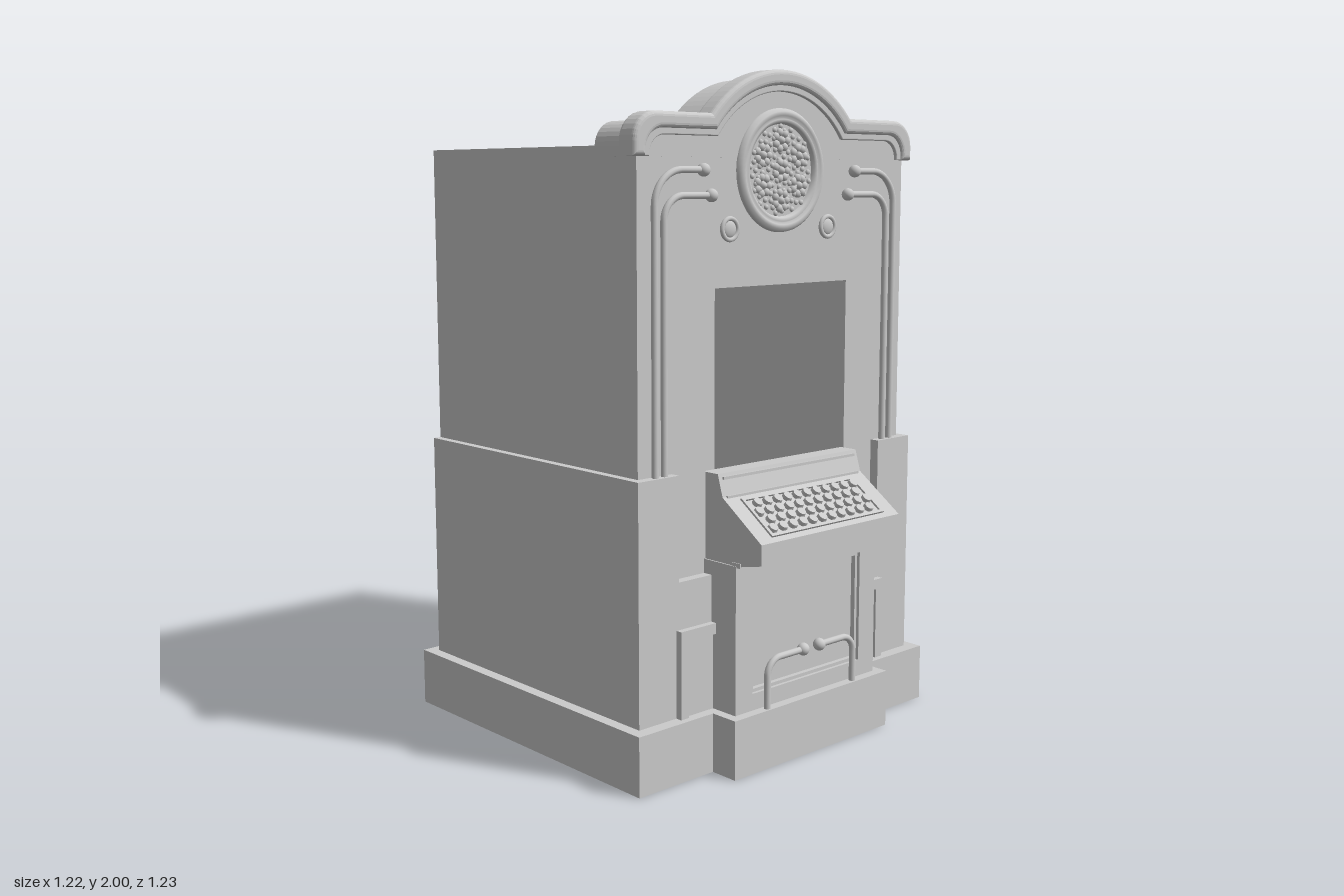
import * as THREE from 'three';

const material = new THREE.MeshStandardMaterial({ color: 0xcccccc });

export function createModel() {
  const model = new THREE.Group();

  const add = (name, geometry, x = 0, y = 0, z = 0, parent = model) => {
    const mesh = new THREE.Mesh(geometry, material);
    mesh.name = name;
    mesh.position.set(x, y, z);
    parent.add(mesh);
    return mesh;
  };
  // Box given by its limits
  const box = (name, x0, x1, y0, y1, z0, z1, parent) =>
    add(name, new THREE.BoxGeometry(x1 - x0, y1 - y0, z1 - z0),
      (x0 + x1) / 2, (y0 + y1) / 2, (z0 + z1) / 2, parent);
  const toShape = (pts) => new THREE.Shape(pts.map(([x, y]) => new THREE.Vector2(x, y)));
  const rect = (x0, x1, y0, y1) => [[x0, y0], [x1, y0], [x1, y1], [x0, y1]];
  // Outline pushed from z0 to z1, with optional hole and rounded edges
  const slab = (name, pts, z0, z1, { hole, bevel = 0 } = {}) => {
    const shape = toShape(pts);
    if (hole) shape.holes.push(toShape(hole));
    return add(name, new THREE.ExtrudeGeometry(shape, {
      depth: z1 - z0 - 2 * bevel, bevelEnabled: bevel > 0,
      bevelSize: bevel, bevelOffset: -bevel, bevelThickness: bevel, bevelSegments: 4,
    }), 0, 0, z0 + bevel);
  };

  // Plinth with its projecting step
  box('plinth', -0.61, 0.61, 0, 0.175, -0.61, 0.46);
  box('plinthStep', -0.33, 0.33, 0, 0.175, 0.4, 0.55);

  // Wide lower cabinet, cut away in the middle of its front
  slab('lowerCabinet', [[-0.575, 0.17], [0.575, 0.17], [0.575, 0.875], [0.425, 0.875],
    [0.425, 0.57], [-0.425, 0.57], [-0.425, 0.875], [-0.575, 0.875]], -0.574, 0.42);

  // Upper cabinet: solid rear, front with deep window recess
  box('upperCabinetRear', -0.55, 0.55, 0.5, 1.78, -0.575, -0.19);
  slab('upperCabinetFront', rect(-0.55, 0.55, 0.5, 1.78), -0.19, 0.39,
    { hole: rect(-0.295, 0.295, 0.58, 1.385) });

  // Crown curve from right end over the arch to left end, inset by o
  const crown = (o) => {
    const half = [[0.575 - o, 1.75]];
    const bend = 0.08 - o * 0.4;
    for (let i = 0; i <= 8; i++) {
      const a = (i / 8) * Math.PI / 2;
      half.push([0.575 - o - bend + bend * Math.cos(a), 1.87 - o - bend + bend * Math.sin(a)]);
    }
    const r = 0.381 - o, start = Math.asin((0.25 - o) / r);
    for (let i = 0; i <= 14; i++) {
      const a = start + (Math.PI / 2 - start) * i / 14;
      half.push([r * Math.cos(a), 1.62 + r * Math.sin(a)]);
    }
    half[half.length - 1][0] = 0;
    return [...half, ...half.slice(0, -1).reverse().map(([x, y]) => [-x, y])];
  };
  const band = (o0, o1) => [...crown(o0), ...crown(o1).reverse()];
  slab('crownBack', crown(0.022), 0.22, 0.35);
  slab('crownFace', crown(0.03), 0.34, 0.391);
  slab('crownMoulding', band(0, 0.045), 0.34, 0.412, { bevel: 0.014 });
  slab('crownInnerLip', band(0.04, 0.062), 0.35, 0.402, { bevel: 0.004 });

  // Round medallion with ringed rim and carved flowers
  const medallion = new THREE.Group();
  medallion.name = 'medallion';
  medallion.position.set(0, 1.715, 0.39);
  model.add(medallion);
  const rim = add('medallionRim', new THREE.LatheGeometry([
    [0.132, 0], [0.136, 0.012], [0.146, 0.016], [0.15, 0.01], [0.156, 0.018],
    [0.168, 0.018], [0.177, 0.008], [0.178, 0],
  ].reverse().map(([x, y]) => new THREE.Vector2(x, y)), 64), 0, 0, 0, medallion);
  rim.rotation.x = Math.PI / 2;
  rim.material = material.clone();
  rim.material.side = THREE.DoubleSide;
  const bump = (name, x, y, r, depth) => {
    const m = add(name, new THREE.SphereGeometry(r, 8, 6), x, y, 0.003, medallion);
    m.scale.z = depth / r;
  };
  for (let i = 0; i < 110; i++) {
    const a = i * 2.39996, r = 0.0122 * Math.sqrt(i + 0.5);
    bump('carvedLeaf', r * Math.cos(a), r * Math.sin(a), 0.008, 0.006);
  }
  for (let f = 0; f < 7; f++) {
    const a = f * Math.PI / 3 + Math.PI / 2, d = f === 6 ? 0 : 0.086;
    const fx = d * Math.cos(a), fy = d * Math.sin(a);
    bump('flowerCentre', fx, fy, 0.012, 0.014);
    for (let p = 0; p < 7; p++) {
      const b = p * Math.PI * 2 / 7;
      bump('flowerPetal', fx + 0.024 * Math.cos(b), fy + 0.024 * Math.sin(b), 0.012, 0.01);
    }
  }

  // Bent rod with a ball at its free end
  const rod = (name, s, foot, top, end, bend, z, r) => {
    const v = (x, y) => new THREE.Vector3(s * x, y, z);
    const path = new THREE.CurvePath();
    const dir = Math.sign(end - foot[0]);
    path.add(new THREE.LineCurve3(v(...foot), v(foot[0], top - bend)));
    const k = bend * 0.448;
    path.add(new THREE.CubicBezierCurve3(v(foot[0], top - bend), v(foot[0], top - k),
      v(foot[0] + dir * k, top), v(foot[0] + dir * bend, top)));
    path.add(new THREE.LineCurve3(v(foot[0] + dir * bend, top), v(end, top)));
    add(name, new THREE.TubeGeometry(path, 90, r, 10), 0, 0, 0);
    add(name + 'Ball', new THREE.SphereGeometry(r * 1.9, 16, 10), s * end, top, z);
  };

  for (const s of [-1, 1]) {
    const side = s > 0 ? 'left' : 'right';
    // Decorative rods, bosses and low side panels
    rod(side + 'OuterRod', s, [0.497, 0.87], 1.715, 0.315, 0.1, 0.402, 0.01);
    rod(side + 'InnerRod', s, [0.463, 0.87], 1.645, 0.285, 0.07, 0.402, 0.01);
    add(side + 'BossRing', new THREE.TorusGeometry(0.03, 0.007, 10, 32), s * 0.205, 1.55, 0.393);
    const boss = add(side + 'Boss', new THREE.SphereGeometry(0.026, 20, 12), s * 0.205, 1.55, 0.39);
    boss.scale.z = 0.4;
    const lo = s > 0 ? 0.29 : -0.435, hi = s > 0 ? 0.435 : -0.29;
    box(side + 'SidePanelTop', lo, hi, 0.4, 0.432, 0.41, 0.44);
    box(side + 'SidePanelEdge', s > 0 ? 0.405 : -0.435, s > 0 ? 0.435 : -0.405, 0.17, 0.4, 0.41, 0.44);
    box(side + 'SidePanelField', lo, hi, 0.17, 0.4, 0.41, 0.428);
    // Foot rails
    rod(side + 'FootRail', s, [0.185, 0.17], 0.32, 0.035, 0.05, 0.535, 0.01);
  }

  // Pedestal with sunken front panel
  slab('pedestalFrame', rect(-0.3, 0.3, 0.17, 0.612), 0.38, 0.52,
    { hole: rect(-0.23, 0.23, 0.225, 0.565) });
  box('pedestalPanel', -0.24, 0.24, 0.22, 0.57, 0.4, 0.495);
  slab('pedestalPanelTrim', rect(-0.23, 0.23, 0.225, 0.565), 0.49, 0.51,
    { hole: rect(-0.22, 0.22, 0.235, 0.555) });

  // Sloping console, profile drawn in z and y
  const profile = toShape([[0.38, 0.605], [0.52, 0.61], [0.615, 0.63], [0.615, 0.69],
    [0.46, 0.8], [0.44, 0.865], [0.38, 0.865]]);
  const consoleBody = add('console', new THREE.ExtrudeGeometry(profile,
    { depth: 0.59, bevelEnabled: false }), 0.295);
  consoleBody.rotation.y = -Math.PI / 2;
  box('consoleUpperBead', -0.28, 0.28, 0.848, 0.856, 0.43, 0.45);
  box('consoleMiddleBead', -0.28, 0.28, 0.796, 0.803, 0.44, 0.466);
  box('consoleLowerBead', -0.298, 0.298, 0.608, 0.622, 0.5, 0.535);

  // Key field on the slope
  const keyboard = new THREE.Group();
  keyboard.name = 'keyboard';
  keyboard.position.set(0, 0.745, 0.5375);
  keyboard.rotation.x = Math.atan2(0.11, 0.155);
  model.add(keyboard);
  for (const s of [-1, 1]) {
    box('keyFrameSide', s * 0.235 - 0.005, s * 0.235 + 0.005, -0.004, 0.006, -0.072, 0.072, keyboard);
    box('keyFrameRail', -0.24, 0.24, -0.004, 0.006, s * 0.072 - 0.005, s * 0.072 + 0.005, keyboard);
  }
  const keyGeometry = new THREE.CylinderGeometry(0.014, 0.016, 0.014, 16);
  for (let row = 0; row < 4; row++)
    for (let i = 0; i < 11; i++)
      add('key', keyGeometry, (i - 5) * 0.041 + (row % 2 ? -0.01 : 0.01), 0.005,
        (row - 1.5) * 0.033, keyboard);

  return model;
}
